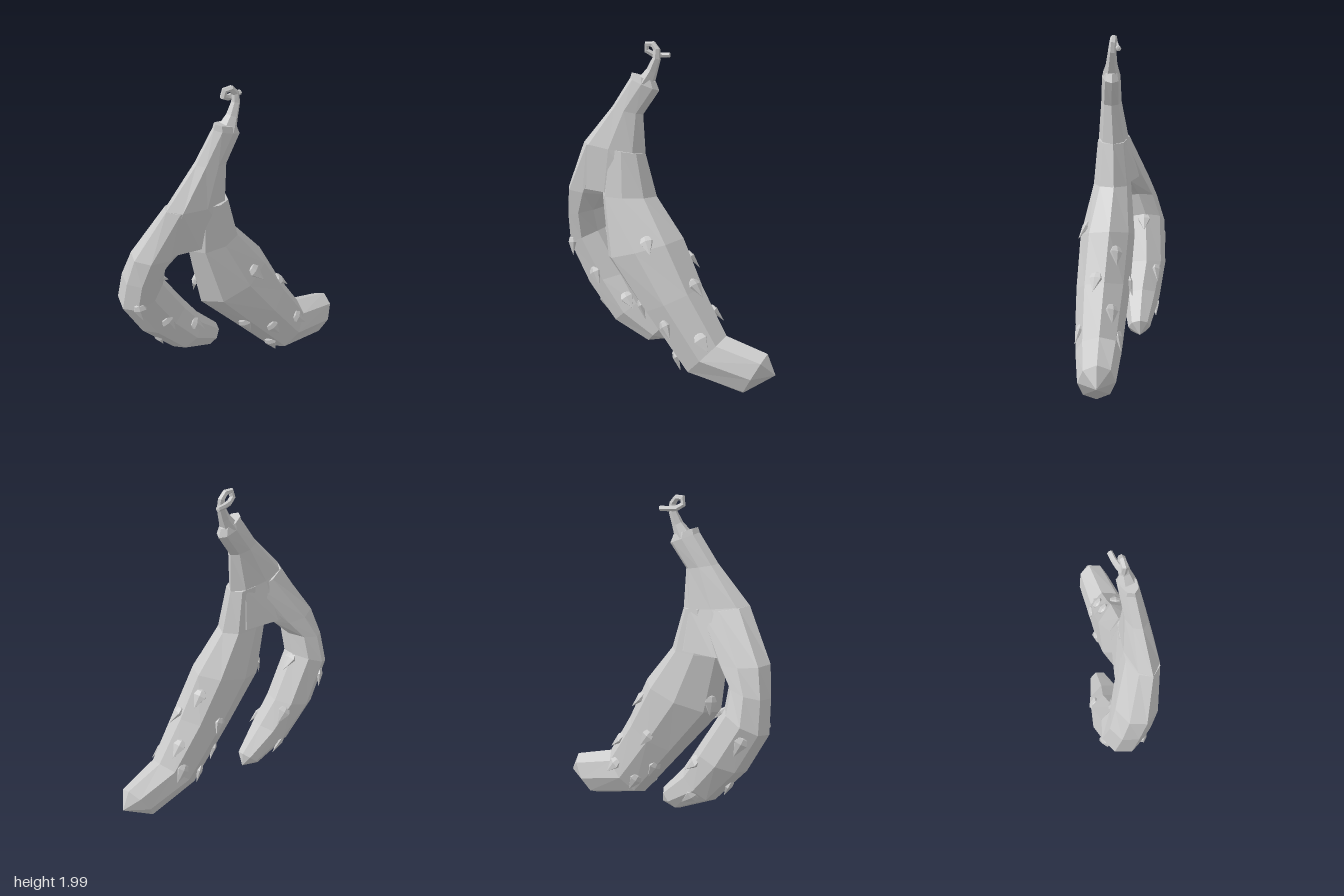
import * as THREE from 'three';

const SIDES = 8;
const material = new THREE.MeshStandardMaterial({ color: 0xcccccc, flatShading: true, side: THREE.DoubleSide });

// Sections: [outer x, outer y, outer z, inner x, inner y, inner z, z half width]
const crownSections = [
  [-0.20, 1.82, 0.08, -0.05, 1.77, 0.08, 0.045],
  [-0.21, 1.79, 0.08, -0.03, 1.72, 0.08, 0.055],
  [-0.33, 1.62, 0.07, -0.13, 1.58, 0.08, 0.062],
  [-0.53, 1.40, 0.045, -0.12, 1.35, 0.07, 0.092],
  [-0.66, 1.12, -0.045, -0.07, 1.11, 0.07, 0.118],
];
const frontSections = [
  [-0.36, 1.38, 0.07, -0.12, 1.35, 0.07, 0.088],
  [-0.40, 1.09, 0.07, -0.05, 1.10, 0.07, 0.115],
  [-0.35, 0.72, 0.105, 0.13, 0.87, 0.105, 0.165],
  [-0.10, 0.42, 0.14, 0.26, 0.60, 0.14, 0.16],
  [0.18, 0.08, 0.175, 0.42, 0.33, 0.175, 0.135],
  [0.53, 0.005, 0.195, 0.67, 0.26, 0.195, 0.107],
];
const backSections = [
  [-0.53, 1.40, 0.045, -0.22, 1.34, 0.045, 0.09],
  [-0.69, 1.10, -0.055, -0.38, 1.08, -0.055, 0.125],
  [-0.715, 0.92, -0.11, -0.47, 0.98, -0.11, 0.13],
  [-0.725, 0.72, -0.155, -0.46, 0.85, -0.155, 0.135],
  [-0.60, 0.48, -0.15, -0.30, 0.58, -0.15, 0.135],
  [-0.40, 0.25, -0.115, -0.20, 0.42, -0.115, 0.118],
  [-0.17, 0.145, -0.09, -0.06, 0.26, -0.09, 0.068],
];

// Point on the skin at section position t and angle a (0 inner, 90 front, 180 outer)
function skinPoint(sections, t, a) {
  const i = Math.min(Math.floor(t), sections.length - 2);
  const s = sections[i].map((v, k) => THREE.MathUtils.lerp(v, sections[i + 1][k], t - i));
  const outer = new THREE.Vector3(s[0], s[1], s[2]), inner = new THREE.Vector3(s[3], s[4], s[5]);
  const p = outer.lerp(inner, 0.5 + Math.cos(a) / 2);
  p.z += Math.sin(a) * s[6];
  return p;
}

// Faceted body through the sections, closed flat at the start and by a tip at the end
function bodyMesh(name, sections, tip) {
  const positions = [], index = [], n = sections.length, f = sections[0];
  for (let i = 0; i < n; i++)
    for (let j = 0; j < SIDES; j++)
      positions.push(...skinPoint(sections, i, j / SIDES * Math.PI * 2).toArray());
  positions.push((f[0] + f[3]) / 2, (f[1] + f[4]) / 2, (f[2] + f[5]) / 2, ...tip);
  for (let j = 0; j < SIDES; j++) {
    const k = (j + 1) % SIDES;
    for (let i = 0; i < n - 1; i++) {
      const a = i * SIDES + j, b = i * SIDES + k;
      index.push(a, b, a + SIDES, b, b + SIDES, a + SIDES);
    }
    index.push(n * SIDES, k, j);
    index.push((n - 1) * SIDES + j, (n - 1) * SIDES + k, n * SIDES + 1);
  }
  const g = new THREE.BufferGeometry();
  g.setAttribute('position', new THREE.Float32BufferAttribute(positions, 3));
  g.setIndex(index);
  g.computeVertexNormals();
  const mesh = new THREE.Mesh(g, material);
  mesh.name = name;
  return mesh;
}

// Flattened teardrop thorn, long axis along y
const thornGeometry = new THREE.LatheGeometry(
  [[0, -0.045], [0.03, -0.03], [0.043, 0], [0.02, 0.045], [0, 0.085]].map(p => new THREE.Vector2(...p)), 6);
thornGeometry.scale(1, 1, 0.45);

// Thorns lie on the skin, pointing towards the tip and slightly outwards
function addThorns(group, sections, places) {
  for (const [t, degrees] of places) {
    const a = THREE.MathUtils.degToRad(degrees);
    const along = skinPoint(sections, t + 0.05, a).sub(skinPoint(sections, t - 0.05, a)).normalize();
    const around = skinPoint(sections, t, a + 0.1).sub(skinPoint(sections, t, a - 0.1));
    const normal = new THREE.Vector3().crossVectors(around, along).normalize();
    const y = along.addScaledVector(normal, 0.28).normalize();
    const x = new THREE.Vector3().crossVectors(y, normal).normalize();
    const z = new THREE.Vector3().crossVectors(x, y);
    const thorn = new THREE.Mesh(thornGeometry, material);
    thorn.name = 'thorn';
    thorn.quaternion.setFromRotationMatrix(new THREE.Matrix4().makeBasis(x, y, z));
    thorn.position.copy(skinPoint(sections, t, a)).addScaledVector(normal, -0.006);
    group.add(thorn);
  }
}

function makeFruit(name, sections, tip, thorns) {
  const group = new THREE.Group();
  group.name = name;
  group.add(bodyMesh(name + 'Body', sections, tip));
  addThorns(group, sections, thorns);
  return group;
}

// Six-sided tube with one ring at each point [x, y, z, radius]
function taperedTube(points) {
  const curve = new THREE.CatmullRomCurve3(
    points.map(p => new THREE.Vector3(p[0], p[1], p[2])), false, 'catmullrom', 0.4);
  curve.getPointAt = t => curve.getPoint(t); // rings fall on the given points
  curve.getTangentAt = t => curve.getTangent(t);
  const sides = 6;
  const g = new THREE.TubeGeometry(curve, points.length - 1, 1, sides);
  const pos = g.attributes.position, v = new THREE.Vector3();
  points.forEach(([x, y, z, r], i) => {
    const c = new THREE.Vector3(x, y, z);
    for (let j = 0; j <= sides; j++) {
      const id = i * (sides + 1) + j;
      v.fromBufferAttribute(pos, id).sub(c).multiplyScalar(r).add(c);
      pos.setXYZ(id, v.x, v.y, v.z);
    }
  });
  g.computeVertexNormals();
  return g;
}

export function createModel() {
  const model = new THREE.Group();
  model.name = 'fruitBunch';

  // Shared crown from which both fruits hang
  model.add(bodyMesh('crown', crownSections, [-0.4, 1.1, 0.01]));

  model.add(makeFruit('frontFruit', frontSections, [0.72, 0.14, 0.2], [
    [1.85, 70], [2.9, 20], [2.9, 150], [3.3, 115], [3.75, 65], [3.75, 155],
    [2.4, 340], [3.5, 335], [2.9, 275], [3.4, 225], [3.9, 300], [3.8, 240], [1.8, 215],
  ]));
  model.add(makeFruit('backFruit', backSections, [-0.055, 0.17, -0.09], [
    [3, 130], [3.8, 100], [4.7, 60], [4.5, 185], [3.1, 5],
    [3.3, 250], [5.2, 255], [4.3, 320],
  ]));

  // Stem that rises from the crown and curls into a small loop with a tail
  const stem = new THREE.Mesh(taperedTube([
    [-0.115, 1.76, 0.08, 0.055], [-0.075, 1.83, 0.08, 0.034], [-0.047, 1.9, 0.078, 0.025],
    [-0.047, 1.95, 0.074, 0.021], [-0.072, 1.981, 0.068, 0.019], [-0.112, 1.981, 0.062, 0.018],
    [-0.117, 1.945, 0.055, 0.018], [-0.08, 1.924, 0.048, 0.018], [-0.03, 1.92, 0.042, 0.016],
    [0.02, 1.92, 0.042, 0.015], [0.023, 1.92, 0.042, 0.001],
  ]), material);
  stem.name = 'curledStem';
  model.add(stem);
  return model;
}
